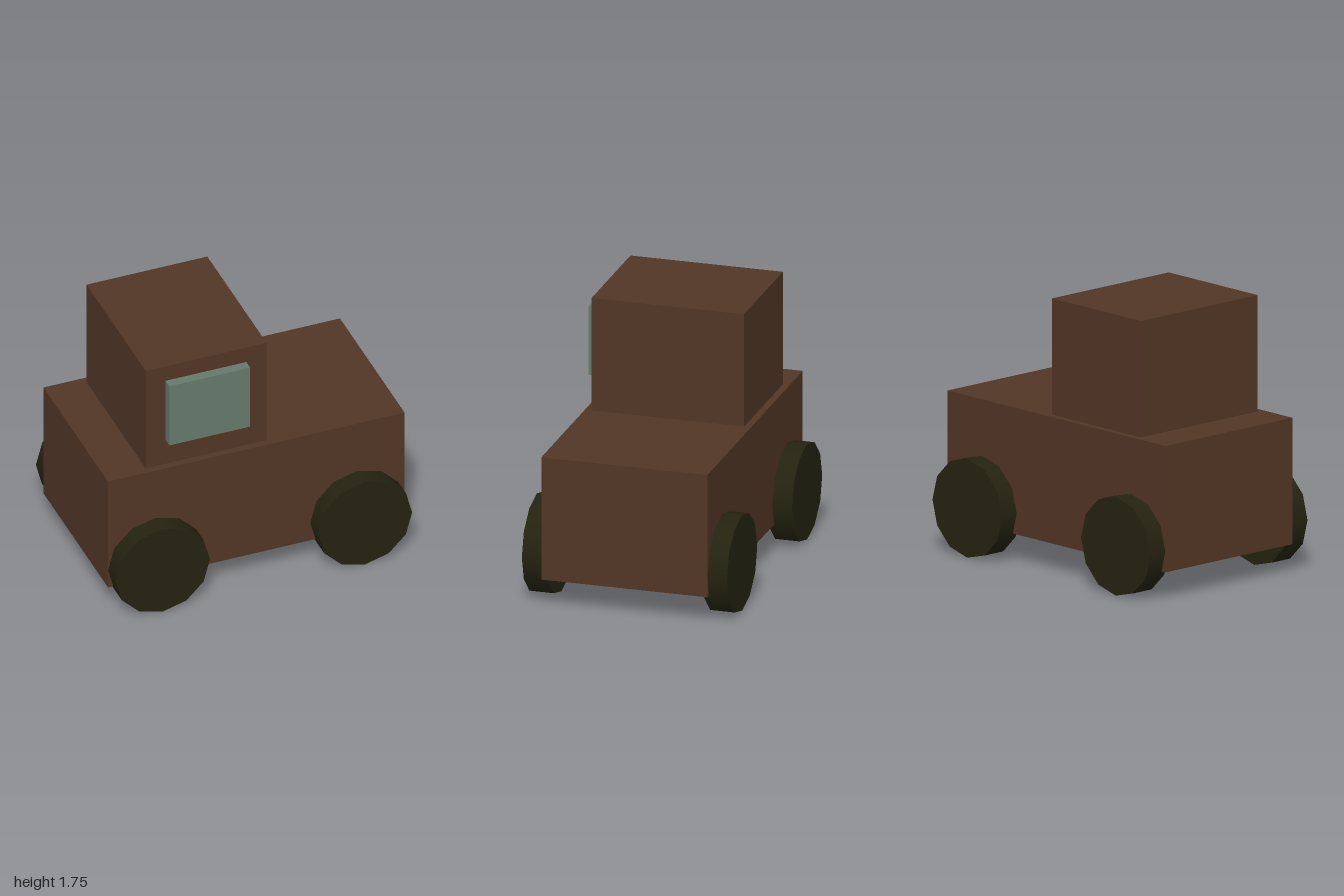
import * as THREE from 'three';

export function createModel() {
  const model = new THREE.Group();
  model.name = 'truck';

  const material = (name, color) => {
    const m = new THREE.MeshStandardMaterial({ color });
    m.name = name;
    return m;
  };
  const brown = material('brown paint', 0x523625);
  const glass = material('grey green glass', 0x657a6c);
  const rubber = material('dark rubber', 0x242310);

  const add = (name, geometry, mat, x, y, z) => {
    const mesh = new THREE.Mesh(geometry, mat);
    mesh.name = name;
    mesh.position.set(x, y, z);
    model.add(mesh);
  };

  // Main body, cab and the single side window
  add('body', new THREE.BoxGeometry(2, 0.815, 1.09), brown, 0, 0.5925, 0);
  add('cab', new THREE.BoxGeometry(0.815, 0.75, 1), brown, -0.32, 1.375, 0);
  add('window', new THREE.BoxGeometry(0.545, 0.455, 0.065), glass, -0.322, 1.412, 0.5325);

  // Four twelve-sided wheels, axles along z
  const wheel = new THREE.CylinderGeometry(0.318, 0.318, 0.16, 12).rotateX(Math.PI / 2);
  for (const x of [-1, 1]) {
    for (const z of [-1, 1]) {
      const name = (z > 0 ? 'front' : 'back') + (x > 0 ? 'Left' : 'Right') + 'Wheel';
      add(name, wheel, rubber, x * 0.682, 0.318, z * 0.593);
    }
  }
  return model;
}
